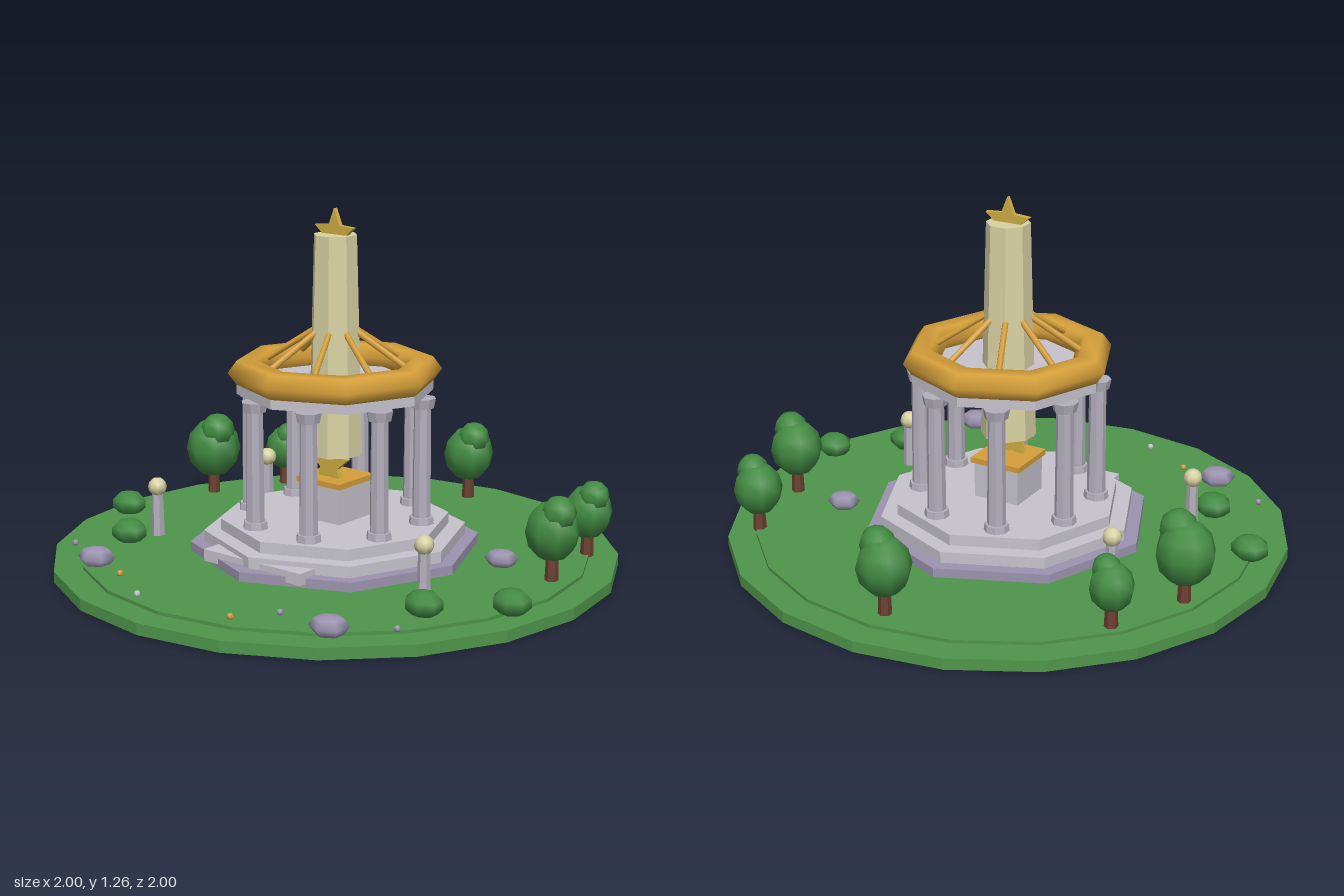
import * as THREE from 'three';

const mat = (name, color) => {
  const m = new THREE.MeshStandardMaterial({ color });
  m.name = name;
  return m;
};

export function createModel() {
  const root = new THREE.Group();
  root.name = 'gardenShrine';

  const grass = mat('grass', 0x4f964b);
  const leaf = mat('foliage', 0x428a42);
  const bark = mat('bark', 0x6b4030);
  const stone = mat('paleStone', 0xc6c3cd);
  const column = mat('columnStone', 0xb3afbd);
  const violet = mat('violetStone', 0x9c94b0);
  const gold = mat('gold', 0xd6a03a);
  const starGold = mat('starGold', 0xcfae42);
  const cream = mat('cream', 0xd9d2a4);

  const add = (name, geo, material, x = 0, y = 0, z = 0, parent = root) => {
    const m = new THREE.Mesh(geo, material);
    m.name = name;
    m.position.set(x, y, z);
    parent.add(m);
    return m;
  };
  const group = (name, x = 0, y = 0, z = 0) => {
    const g = new THREE.Group();
    g.name = name;
    g.position.set(x, y, z);
    root.add(g);
    return g;
  };
  // faceted prism standing between two heights
  const prism = (rTop, rBottom, y0, y1, sides, turn = 0) => {
    const g = new THREE.CylinderGeometry(rTop, rBottom, y1 - y0, sides).toNonIndexed();
    g.rotateY(turn).translate(0, (y0 + y1) / 2, 0);
    g.computeVertexNormals();
    return g;
  };
  const box = (w, y0, y1, d) => new THREE.BoxGeometry(w, y1 - y0, d).translate(0, (y0 + y1) / 2, 0);
  const E = Math.PI / 8;

  // lawn
  add('lawnRim', prism(1, 1, 0, 0.04, 20), grass);
  add('lawnTop', prism(0.9, 0.9, 0.04, 0.052, 20), grass);

  // octagonal steps
  add('lowerStep', prism(0.513, 0.513, 0.045, 0.085, 8), violet);
  add('middleStep', prism(0.465, 0.465, 0.085, 0.125, 8), stone);
  add('upperStep', prism(0.405, 0.405, 0.125, 0.165, 8), stone);
  add('entranceStep', box(0.434, 0.065, 0.107, 0.09), stone, 0, 0, 0.405);

  // eight columns
  for (let i = 0; i < 8; i++) {
    const a = E + i * 2 * E;
    const c = group('column', 0.314 * Math.sin(a), 0, 0.314 * Math.cos(a));
    add('columnBase', prism(0.042, 0.045, 0.165, 0.19, 8, E), column, 0, 0, 0, c);
    add('columnShaft', prism(0.03, 0.033, 0.19, 0.58, 8, E), column, 0, 0, 0, c);
    add('columnCapital', prism(0.047, 0.04, 0.58, 0.615, 8, E), column, 0, 0, 0, c);
  }

  // roof slab and golden ring
  add('roofSlab', prism(0.345, 0.345, 0.615, 0.658, 8), stone);
  const ring = new THREE.TorusGeometry(0.311, 0.065, 6, 8).rotateX(-Math.PI / 2).scale(1, 0.78, 1);
  add('roofRing', ring, gold, 0, 0.69, 0);

  // struts leaning on the tower
  for (let i = 0; i < 8; i++) {
    const a = E + i * 2 * E;
    const at = (r, y) => new THREE.Vector3(r * Math.sin(a), y, r * Math.cos(a));
    const path = new THREE.LineCurve3(at(0.265, 0.71), at(0.075, 0.835));
    add('strut', new THREE.TubeGeometry(path, 1, 0.011, 6), gold);
  }

  // hanging tower
  add('tower', prism(0.077, 0.098, 0.395, 1.17, 8, E), cream);

  // stars
  const star = new THREE.Shape();
  for (let i = 0; i < 10; i++) {
    const r = i % 2 ? 0.04 : 0.09;
    const a = i * Math.PI / 5;
    star[i ? 'lineTo' : 'moveTo'](r * Math.sin(a), r * Math.cos(a));
  }
  star.closePath();
  const starGeo = new THREE.ExtrudeGeometry(star, { depth: 0.018, bevelEnabled: false }).translate(0, 0, -0.009);
  add('topStar', starGeo, starGold, 0, 1.17, 0);
  add('altarStar', starGeo, starGold, 0, 0.36, 0.03);

  // altar
  add('altar', box(0.175, 0.165, 0.295, 0.175), stone);
  add('altarPlate', box(0.195, 0.295, 0.315, 0.195), gold);

  // trees: x, z, crown height, crown radius
  const crown = new THREE.SphereGeometry(1, 8, 6);
  for (const [x, z, y, r] of [
    [0, -0.81, 0.225, 0.095], [-0.68, -0.52, 0.195, 0.077], [-0.81, -0.245, 0.23, 0.104],
    [0.74, -0.49, 0.205, 0.087], [0.805, -0.165, 0.225, 0.095],
  ]) {
    const t = group('tree', x, 0, z);
    add('trunk', prism(0.017, 0.024, 0.045, y, 6), bark, 0, 0, 0, t);
    add('crown', crown, leaf, 0, y, 0, t).scale.set(r, r * 1.1, r);
    add('crownTop', crown, leaf, r * 0.32, y + r * 0.72, r * 0.12, t).scale.setScalar(r * 0.64);
  }

  // bushes
  const bush = new THREE.SphereGeometry(0.07, 7, 5);
  for (const [x, z] of [[-0.87, 0.16], [-0.615, 0.415], [0.675, 0.38], [0.885, 0.19]])
    add('bush', bush, leaf, x, 0.087, z).scale.set(1, 0.65, 0.88);

  // rocks
  const rock = new THREE.SphereGeometry(1, 6, 4).rotateY(Math.PI / 6);
  for (const [x, z, r] of [[-0.515, 0.675, 0.068], [0.55, 0.705, 0.068], [0.58, -0.195, 0.06]])
    add('rock', rock, violet, x, 0.075, z).scale.set(r, r * 0.55, r * 0.92);

  // garden lamps
  const ball = new THREE.SphereGeometry(0.034, 8, 6);
  for (const [x, z] of [[-0.55, -0.265], [-0.583, 0.3], [0.578, 0.25]]) {
    const l = group('lamp', x, 0, z);
    add('lampPost', prism(0.02, 0.024, 0.045, 0.21, 6), column, 0, 0, 0, l);
    add('lampGlobe', ball, cream, 0, 0.232, 0, l);
  }

  // small flowers
  const bloom = new THREE.SphereGeometry(0.012, 6, 4);
  for (const [x, z, m] of [
    [-0.725, 0.575, violet], [-0.355, 0.72, gold], [-0.16, 0.835, stone],
    [0.225, 0.805, gold], [0.322, 0.675, violet], [0.707, 0.56, violet],
  ]) add('flower', bloom, m, x, 0.06, z);

  return root;
}
